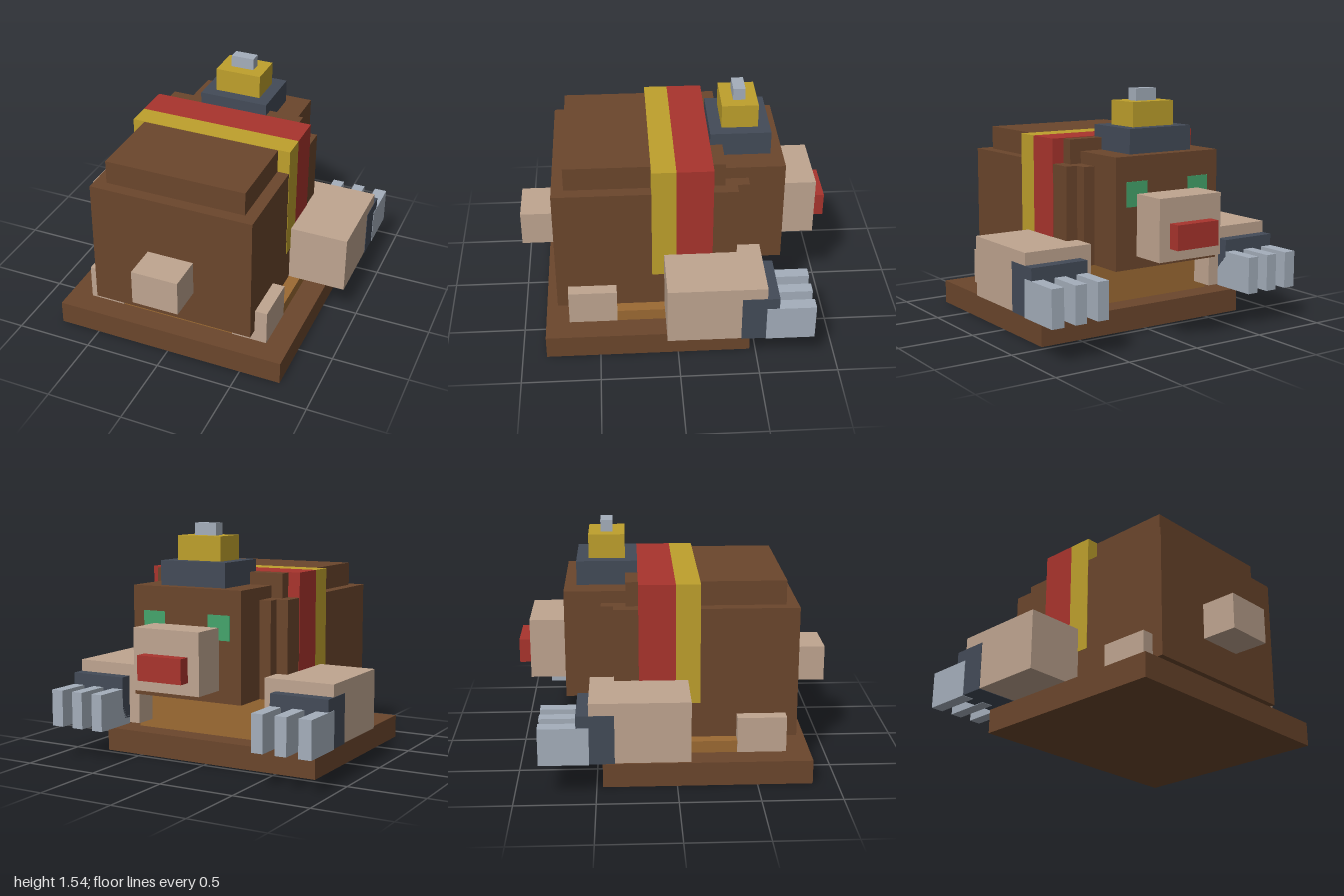
import * as THREE from 'three';

const U = 1 / 13; // one block unit
const E = 0.04;   // small lift that keeps flush parts from flickering

const mat = (name, color) => {
  const m = new THREE.MeshStandardMaterial({ color });
  m.name = name;
  return m;
};

export function createModel() {
  const brown = mat('brown', 0x6b462c);
  const tan = mat('tan', 0x9c6a33);
  const cream = mat('cream', 0xbfa590);
  const red = mat('red', 0xa9342d);
  const gold = mat('gold', 0xbea02c);
  const slate = mat('slate', 0x434b58);
  const steel = mat('steel', 0xa4aebb);
  const green = mat('green', 0x45a56c);

  const model = new THREE.Group();
  model.name = 'blockCreature';

  // Box given by its limits in block units
  const box = (name, material, [x0, x1], [y0, y1], [z0, z1]) => {
    const g = new THREE.BoxGeometry((x1 - x0) * U, (y1 - y0) * U, (z1 - z0) * U);
    g.translate((x0 + x1) / 2 * U, (y0 + y1) / 2 * U, (z0 + z1) / 2 * U);
    const mesh = new THREE.Mesh(g, material);
    mesh.name = name;
    model.add(mesh);
  };
  const mid = (name, material, half, y, z) => box(name, material, [-half, half], y, z);
  const pair = (name, material, [a, b], y, z) => {
    box(name + 'Left', material, [a, b], y, z);
    box(name + 'Right', material, [-b, -a], y, z);
  };

  // Base and seat
  mid('base', brown, 10, [0, 2], [-6, 11]);
  mid('seat', tan, 8, [2, 3], [-4, 9]);

  // Body
  mid('body', brown, 7, [3, 14], [-5, 10]);
  mid('hump', brown, 6, [14, 16], [-4, 9]);
  mid('belly', tan, 6.95, [3 - E, 6], [-5 - E, -4]);
  mid('neck', brown, 6, [6, 14], [-6, -5]);
  mid('tail', cream, 2, [6, 9], [10, 13]);

  // Two-colour band around the body
  mid('goldBand', gold, 7 + E, [6, 16 + E], [0, 2]);
  mid('redBand', red, 7 + E, [6, 16 + E], [-3, 0]);

  // Head
  mid('head', brown, 5, [6, 15], [-9, -4]);
  mid('snout', cream, 3, [7, 12], [-12, -9]);
  mid('nose', red, 2, [8, 10], [-13, -12]);
  pair('eye', green, [2, 4], [11, 13], [-9 - E, -9 + E]);

  // Stepped hat
  mid('hatBrim', slate, 3, [15, 17], [-8, -3]);
  mid('hatCrown', gold, 2, [17, 19], [-7, -4]);
  mid('hatTip', steel, 1, [19, 20], [-6, -5]);

  // Feet, arms, cuffs and claws
  pair('foot', cream, [5, 8 + E], [2, 5], [5, 9 + E]);
  pair('arm', cream, [6, 12], [3, 8], [-7, 1]);
  pair('cuff', slate, [7, 12 + E], [3 - E, 7], [-8, -5]);
  [7, 9, 11].forEach((x, i) => {
    const outer = x === 11 ? 2 * E : 0;
    pair('claw' + (i + 1), steel, [x, x + 1 + outer], [3 - 2 * E, 6], [-11, -7]);
  });

  return model;
}
